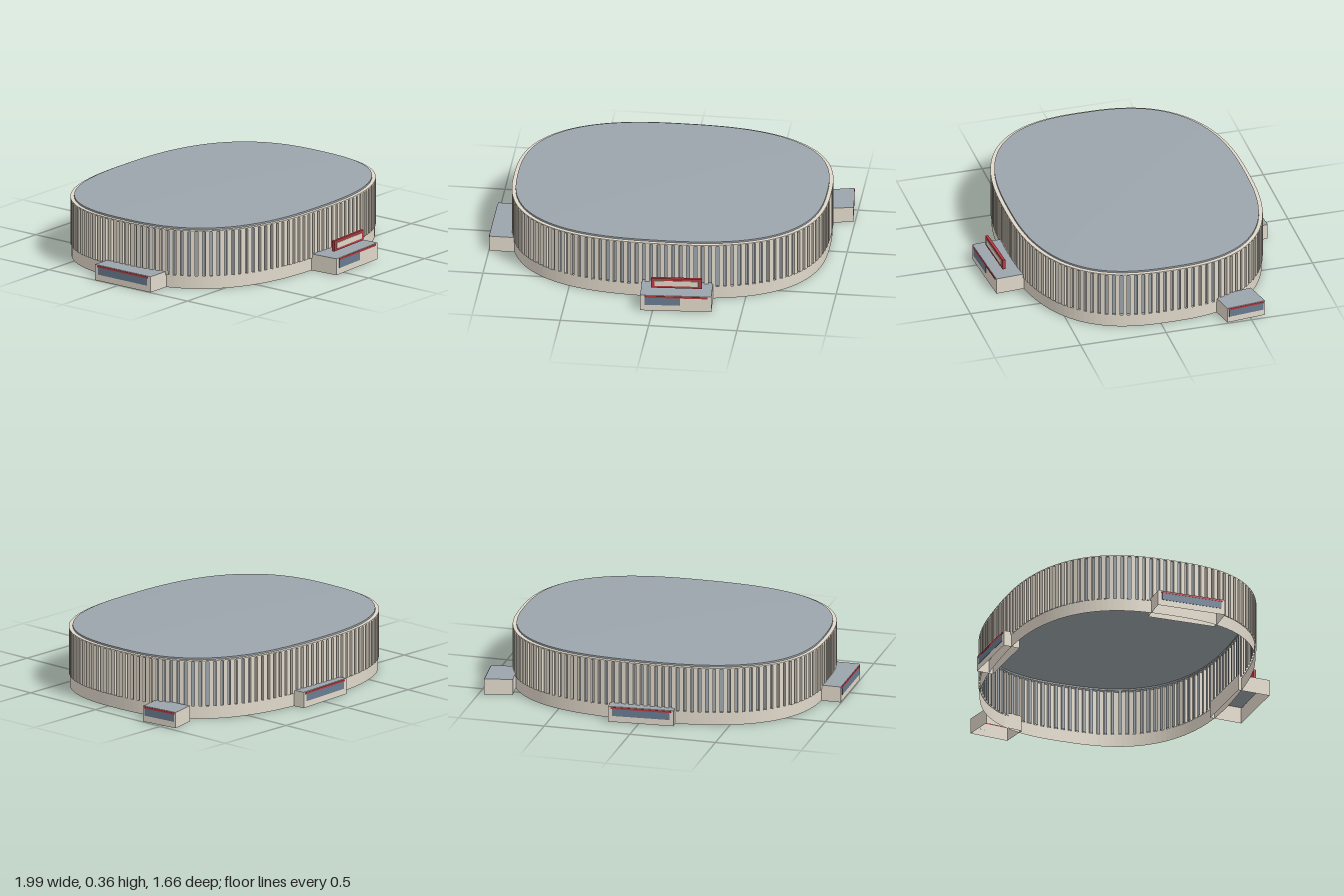
import * as THREE from 'three';

const mat = (name, color) => {
  const m = new THREE.MeshStandardMaterial({ color, side: THREE.DoubleSide });
  m.name = name;
  return m;
};

// Flat-shaded mesh from a list of four-cornered faces
function quadMesh(name, material, quads) {
  const pos = [];
  for (const [a, b, c, d] of quads) for (const p of [a, b, c, a, c, d]) pos.push(p.x, p.y, p.z);
  const g = new THREE.BufferGeometry();
  g.setAttribute('position', new THREE.Float32BufferAttribute(pos, 3));
  g.computeVertexNormals();
  const mesh = new THREE.Mesh(g, material);
  mesh.name = name;
  return mesh;
}

// Rounded-oval plan of the hall
const CX = 0.005, CZ = -0.055, A = 0.898, B = 0.715, N = 2.6;
const outline = new THREE.CatmullRomCurve3(Array.from({ length: 120 }, (_, i) => {
  const t = (i / 120) * Math.PI * 2, c = Math.cos(t), s = Math.sin(t);
  const r = (Math.abs(c / A) ** N + Math.abs(s / B) ** N) ** (-1 / N);
  return new THREE.Vector3(CX + r * c, 0, CZ + r * s);
}), true);
outline.arcLengthDivisions = 1200;

// Point on the outline at fraction u, moved inward and raised
function at(u, inset, y) {
  const p = outline.getPointAt(u % 1), t = outline.getTangentAt(u % 1);
  return new THREE.Vector3(p.x - t.z * inset, y, p.z + t.x * inset);
}

// Closed bands between successive [inset, y] stations
function band(name, material, stations, seg = 160) {
  const quads = [];
  for (let k = 0; k + 1 < stations.length; k++) {
    for (let i = 0; i < seg; i++) {
      const u = i / seg, v = (i + 1) / seg, [i0, y0] = stations[k], [i1, y1] = stations[k + 1];
      quads.push([at(u, i0, y0), at(u, i1, y1), at(v, i1, y1), at(v, i0, y0)]);
    }
  }
  return quadMesh(name, material, quads);
}

export function createModel() {
  const root = new THREE.Group();
  root.name = 'arena';
  const cream = mat('cream concrete', 0xe0d8ca);
  const roofGrey = mat('roof grey', 0x9ca5ac);
  const glass = mat('blue glass', 0x687c91);
  const red = mat('red trim', 0xb93a40);

  // Plinth and the rim on top of the wall
  root.add(band('plinth', cream, [[0.006, 0], [0.006, 0.075]]));
  root.add(band('wallRim', cream, [[0, 0.334], [0, 0.341], [0.024, 0.341]]));

  // Ribbed wall: outer ribs with side returns, narrow grey recesses between
  const ribs = [], recesses = [], COUNT = 128, DEPTH = 0.018;
  for (let i = 0; i < COUNT; i++) {
    const wall = (u0, d0, u1, d1) =>
      [at(u0, d0, 0.073), at(u0, d0, 0.34), at(u1, d1, 0.34), at(u1, d1, 0.073)];
    const u0 = i / COUNT, u1 = (i + 0.6) / COUNT, u2 = (i + 1) / COUNT;
    ribs.push(wall(u0, 0, u1, 0), wall(u1, 0, u1, DEPTH), wall(u2, DEPTH, u2, 0));
    recesses.push(wall(u1, DEPTH, u2, DEPTH));
  }
  root.add(quadMesh('wallRibs', cream, ribs), quadMesh('wallRecesses', roofGrey, recesses));

  // Shallow domed roof with a low upright edge
  const roof = [], SEG = 160, levels = [1, 0.8, 0.6, 0.4, 0.2, 0];
  const roofPoint = (u, s) => {
    const p = at(u, 0.022, 0);
    return new THREE.Vector3(CX + (p.x - CX) * s, 0.351 + 0.013 * (1 - s * s), CZ + (p.z - CZ) * s);
  };
  for (let i = 0; i < SEG; i++) {
    const u = i / SEG, v = (i + 1) / SEG;
    for (let k = 0; k + 1 < levels.length; k++) {
      const s = levels[k], t = levels[k + 1];
      roof.push([roofPoint(u, s), roofPoint(u, t), roofPoint(v, t), roofPoint(v, s)]);
    }
  }
  root.add(quadMesh('roof', roofGrey, roof));
  root.add(band('roofEdge', roofGrey, [[0.022, 0.34], [0.022, 0.351]]));

  // Entrance blocks: plan corners run outer left, outer right, inner right, inner left
  // (seen from outside); glazing and trim spans are fractions of the outer face
  function entrance(name, plan, h, glazing, trim) {
    const g = new THREE.Group();
    g.name = name;
    const P = (k, y) => new THREE.Vector3(plan[k % 4][0], y, plan[k % 4][1]);
    g.add(quadMesh(name + 'Walls', cream, [0, 1, 2, 3].map(k => [P(k, 0), P(k + 1, 0), P(k + 1, h), P(k, h)])));
    g.add(quadMesh(name + 'Roof', roofGrey, [[P(0, h), P(1, h), P(2, h), P(3, h)]]));
    const along = P(1, 0).sub(P(0, 0));
    const out = new THREE.Vector3(-along.z, 0, along.x).normalize();
    const plate = (part, material, [f0, f1], y0, y1, thick) => {
      const w = along.length() * (f1 - f0);
      const m = new THREE.Mesh(new THREE.BoxGeometry(w, y1 - y0, thick), material);
      m.name = name + part;
      m.position.copy(P(0, (y0 + y1) / 2)).addScaledVector(along, (f0 + f1) / 2).addScaledVector(out, thick / 2);
      m.rotation.y = Math.atan2(out.x, out.z);
      g.add(m);
    };
    plate('Glazing', glass, glazing, 0.036, h - 0.014, 0.002);
    plate('Trim', red, trim, h - 0.014, h - 0.003, 0.003);
    root.add(g);
  }
  entrance('frontEntrance', [[-0.07, 0.825], [0.33, 0.799], [0.318, 0.61], [-0.082, 0.636]], 0.096, [0.06, 0.56], [0.06, 0.95]);
  entrance('backEntrance', [[0.175, -0.831], [-0.2, -0.806], [-0.19, -0.71], [0.183, -0.735]], 0.092, [0.06, 0.94], [0.04, 0.96]);
  entrance('leftEntrance', [[0.991, -0.36], [0.967, -0.588], [0.81, -0.55], [0.84, -0.328]], 0.092, [0.05, 0.95], [0.03, 0.97]);
  entrance('rightEntrance', [[-0.997, -0.17], [-0.997, 0.23], [-0.83, 0.23], [-0.83, -0.17]], 0.092, [0.06, 0.94], [0.04, 0.96]);

  // Framed sign board above the front entrance
  const sign = new THREE.Group();
  sign.name = 'signBoard';
  const box = (name, material, w, h, d, z) => {
    const m = new THREE.Mesh(new THREE.BoxGeometry(w, h, d), material);
    m.name = name;
    m.position.z = z;
    sign.add(m);
  };
  box('signFrame', red, 0.285, 0.06, 0.016, 0);
  box('signPanel', cream, 0.245, 0.032, 0.004, 0.009);
  sign.position.set(0.127, 0.145, 0.747);
  sign.rotation.y = 0.065;
  root.add(sign);

  return root;
}
